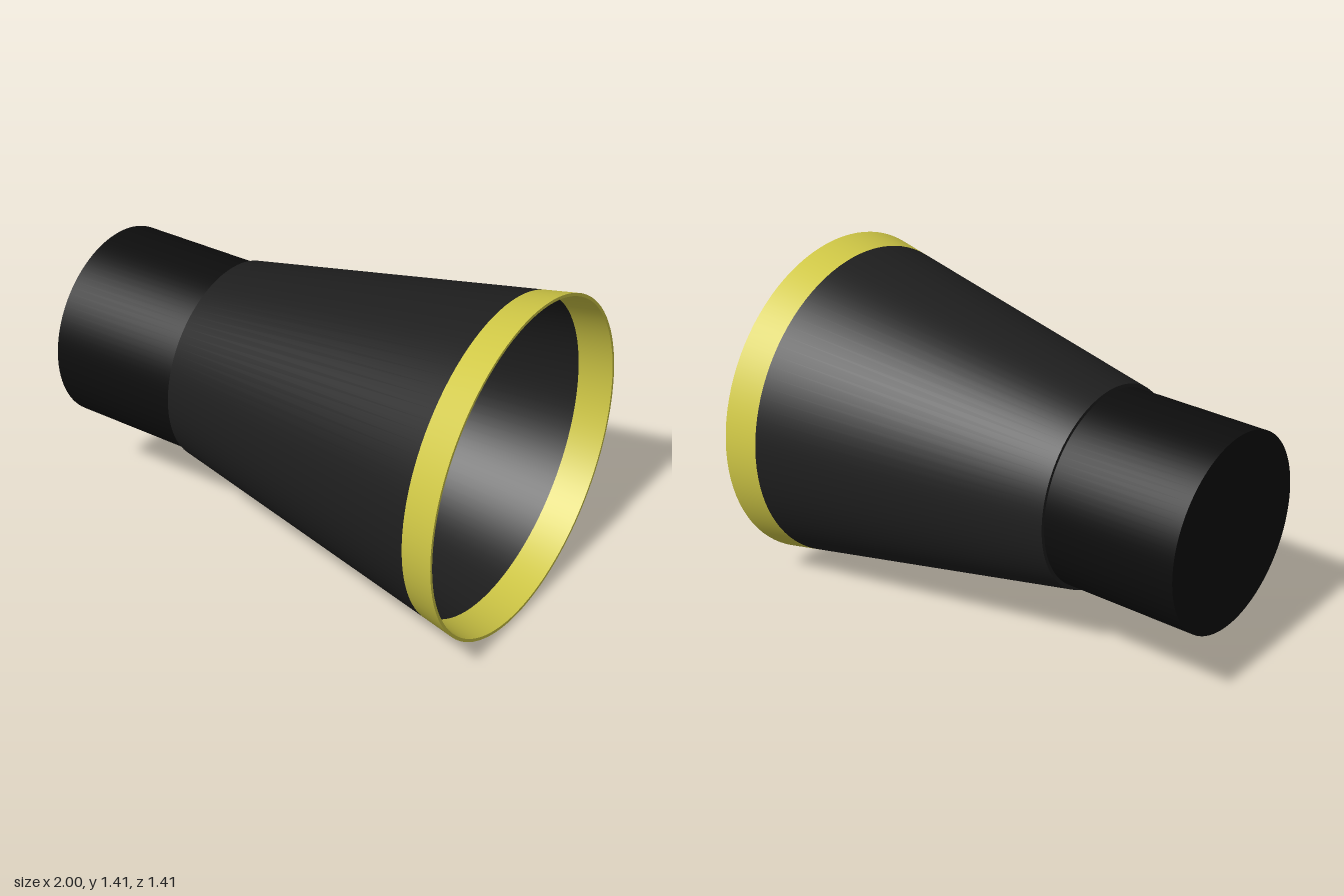
import * as THREE from 'three';

const AXIS_Y = 0.705;
const SEGMENTS = 96;

const black = new THREE.MeshStandardMaterial({ color: 0x0d0d0d });
const charcoal = new THREE.MeshStandardMaterial({ color: 0x1e1e1e });
const yellow = new THREE.MeshStandardMaterial({ color: 0xd0c846 });

// Turn a profile of [x, radius] points about the x axis, keeping each corner sharp
function turned(name, profile, material) {
  const part = new THREE.Group();
  part.name = name;
  for (let i = 0; i < profile.length - 1; i++) {
    const points = [profile[i], profile[i + 1]].map(([x, r]) => new THREE.Vector2(r, x));
    const geometry = new THREE.LatheGeometry(points, SEGMENTS);
    geometry.rotateZ(-Math.PI / 2);
    const mesh = new THREE.Mesh(geometry, material);
    mesh.name = `${name}Surface${i + 1}`;
    part.add(mesh);
  }
  part.position.y = AXIS_Y;
  return part;
}

export function createModel() {
  const model = new THREE.Group();
  model.name = 'flaredCup';

  // Solid narrow neck with a flat end
  model.add(turned('neck', [[-1, 0], [-1, 0.413], [-0.41, 0.413]], black));

  // Flared hollow body: back step, outer wall
  model.add(turned('bodyOuter', [[-0.41, 0.4], [-0.41, 0.428], [0.86, 0.677]], charcoal));

  // Inner wall and floor of the body
  model.add(turned('bodyInner', [[0.86, 0.665], [-0.39, 0.421], [-0.39, 0]], charcoal));

  // Coloured rim: outer band, lip, inner band
  model.add(turned('rim', [[0.86, 0.677], [1, 0.705], [1, 0.692], [0.86, 0.665]], yellow));

  return model;
}
